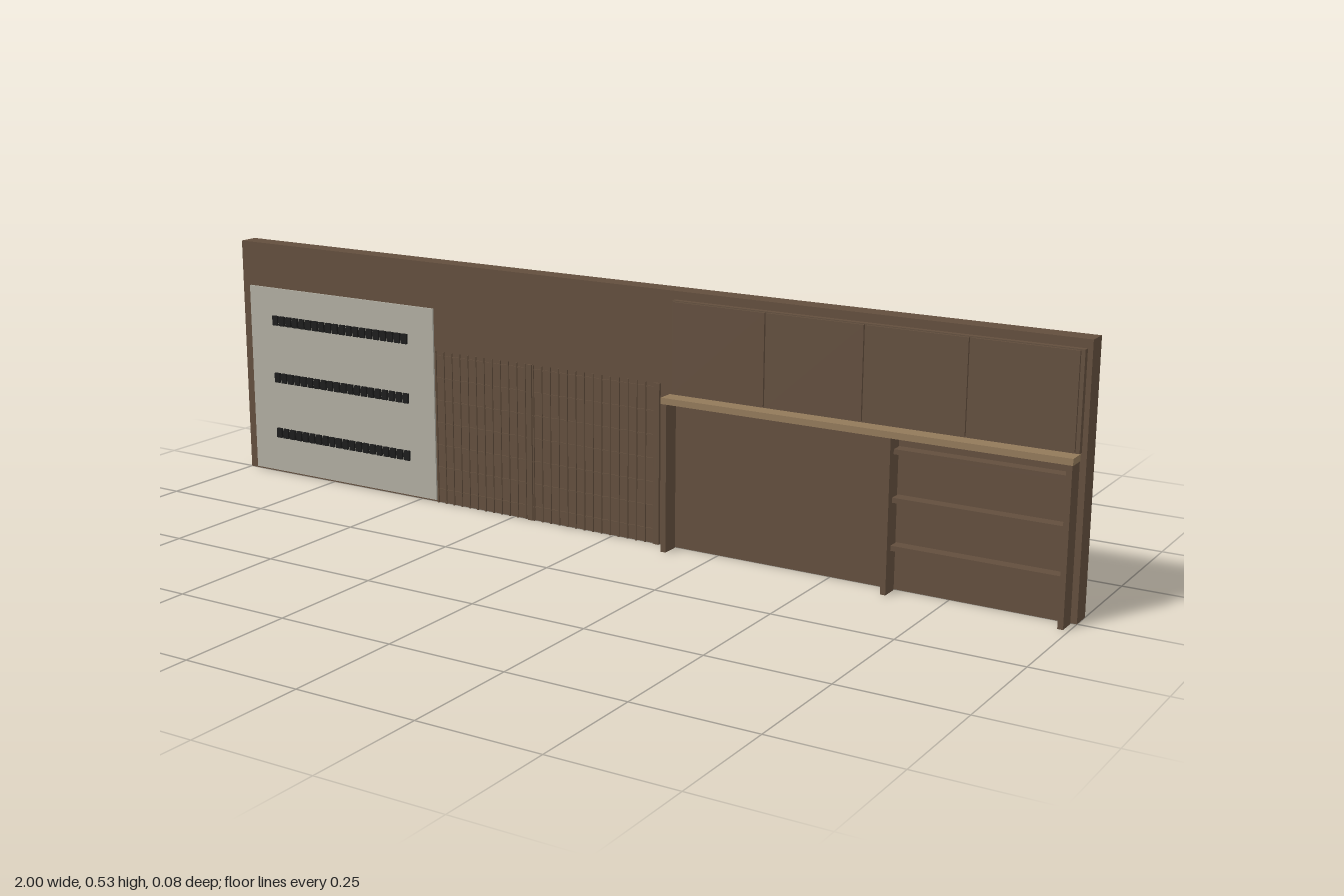
import * as THREE from 'three';

const material = (name, color) => {
  const m = new THREE.MeshStandardMaterial({ color });
  m.name = name;
  return m;
};

export function createModel() {
  const model = new THREE.Group();
  model.name = 'wallStorage';
  const brown = material('brownWood', 0x624e3d);
  const tan = material('tanWorktop', 0x92795a);
  const grey = material('greyBoard', 0xb0ada1);
  const black = material('blackMetal', 0x1c1c1c);

  // Box given by its limits on each axis
  const box = (name, mat, x0, x1, y0, y1, z0, z1, parent = model) => {
    const mesh = new THREE.Mesh(new THREE.BoxGeometry(x1 - x0, y1 - y0, z1 - z0), mat);
    mesh.position.set((x0 + x1) / 2, (y0 + y1) / 2, (z0 + z1) / 2);
    mesh.name = name;
    parent.add(mesh);
    return mesh;
  };
  const group = (name) => {
    const g = new THREE.Group();
    g.name = name;
    model.add(g);
    return g;
  };

  // Wall slab behind everything
  box('wall', brown, -1, 1, 0, 0.532, -0.042, 0.001);

  // Tool board with three rows of hooks
  const board = group('toolBoard');
  box('boardPanel', grey, -0.978, -0.458, 0.004, 0.432, 0.001, 0.005, board);
  for (const y of [0.358, 0.225, 0.095]) {
    box('hookRail', black, -0.91, -0.527, y - 0.005, y + 0.005, 0.005, 0.0065, board);
    for (let i = 0; i < 20; i++) {
      const x = -0.91 + i * 0.0194;
      box('hook', black, x, x + 0.014, y - 0.011, y + 0.011, 0.005, 0.0105, board);
    }
  }

  // Wire grid and its two posts
  const grid = group('wireGrid');
  for (let i = 0; i < 27; i++) {
    const x = -0.452 + i * 0.0212;
    box('uprightWire', brown, x - 0.0015, x + 0.0015, 0, 0.34, 0.003, 0.006, grid);
  }
  for (let i = 0; i < 7; i++) {
    const y = 0.03 + i * 0.05;
    box('crossWire', brown, -0.456, 0.103, y - 0.0015, y + 0.0015, 0.001, 0.004, grid);
  }
  for (const x of [-0.207, 0.106])
    box('gridPost', brown, x - 0.006, x + 0.006, 0, 0.34, 0.001, 0.007, grid);

  // Four wall cupboards side by side
  const cupboards = group('wallCupboards');
  box('cupboardBody', brown, 0.147, 0.992, 0.325, 0.516, 0.006, 0.018, cupboards);
  for (let i = 0; i < 4; i++) {
    const x = 0.151 + i * 0.2095;
    box('cupboardDoor', brown, x, x + 0.205, 0.328, 0.514, 0.018, 0.023, cupboards);
  }

  // Workbench: side panels, worktop and shelves
  const bench = group('workbench');
  box('worktop', tan, 0.137, 0.99, 0.309, 0.322, 0.005, 0.043, bench);
  for (const x of [0.139, 0.626, 0.978])
    box('sidePanel', brown, x, x + 0.011, 0, 0.309, 0.005, 0.043, bench);
  for (const y of [0.28, 0.185, 0.09])
    box('shelf', brown, 0.637, 0.978, y - 0.005, y + 0.005, 0.001, 0.027, bench);
  return model;
}
